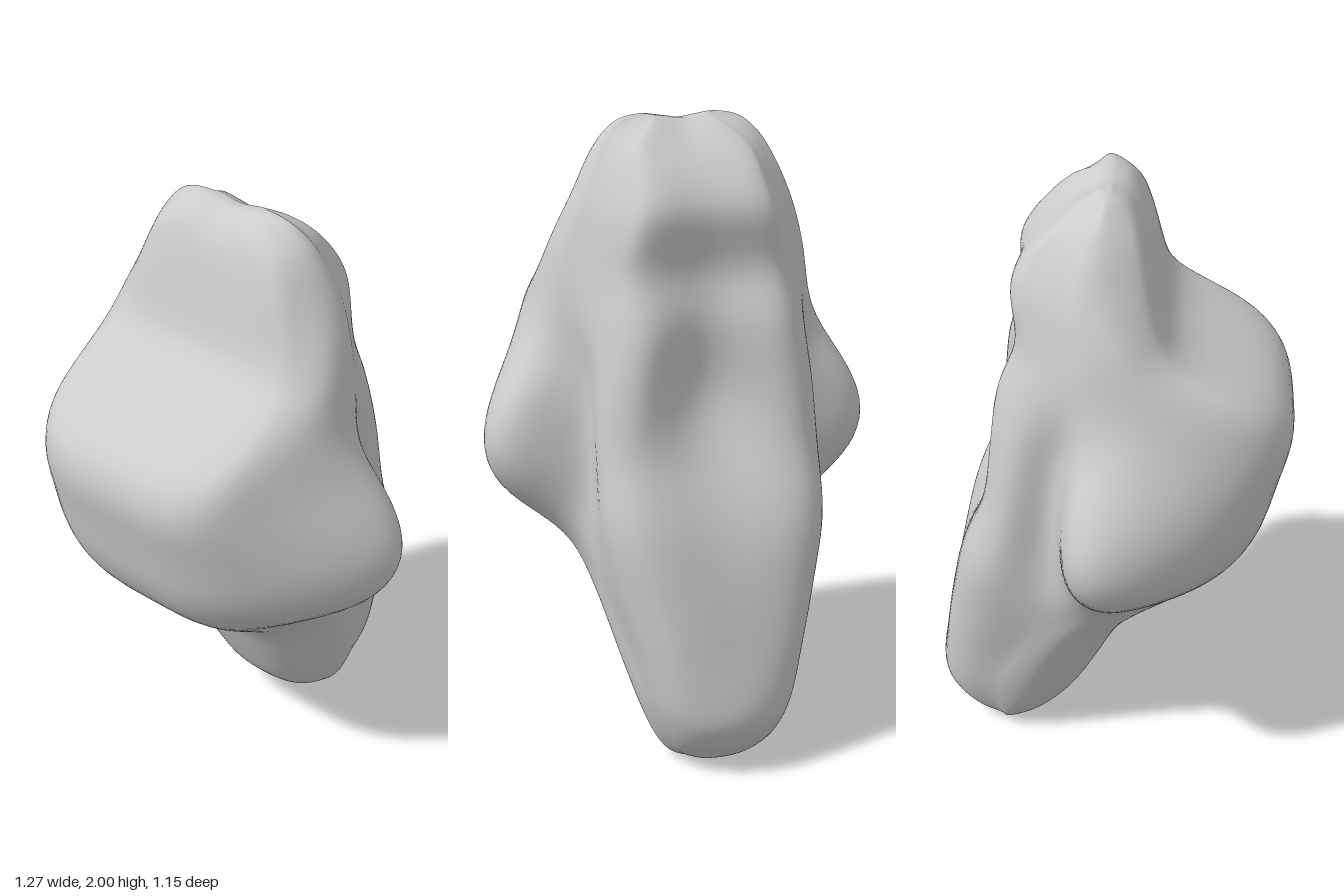
import * as THREE from 'three';

// Smooth monotone interpolation through [height, value] keys (ascending height)
function profile(...keys) {
  const n = keys.length;
  const slope = (i) => (keys[i + 1][1] - keys[i][1]) / (keys[i + 1][0] - keys[i][0]);
  const tangent = (i) => {
    if (i === 0) return slope(0);
    if (i === n - 1) return slope(n - 2);
    const a = slope(i - 1), b = slope(i);
    return a * b <= 0 ? 0 : (2 * a * b) / (a + b);
  };
  return (y) => {
    let i = 0;
    while (i < n - 2 && y > keys[i + 1][0]) i++;
    const h = keys[i + 1][0] - keys[i][0];
    const t = (y - keys[i][0]) / h, t2 = t * t, t3 = t2 * t;
    return (2 * t3 - 3 * t2 + 1) * keys[i][1] + (t3 - 2 * t2 + t) * h * tangent(i)
      + (3 * t2 - 2 * t3) * keys[i + 1][1] + (t3 - t2) * h * tangent(i + 1);
  };
}

// Front face: depth, half-width of its corners and how far they are rounded back
const frontZ = profile([0, -.31], [.015, -.25], [.05, -.2], [.15, -.105], [.3, -.02], [.5, .085], [.6, .215],
  [.7, .355], [.8, .445], [.9, .5], [1.1, .547], [1.25, .583], [1.35, .555], [1.42, .485], [1.47, .37],
  [1.53, .225], [1.6, .18], [1.8, .13], [1.9, .1], [1.97, .06], [1.99, .035], [2, .01]);
const frontX = profile([0, .05], [.05, .09], [.15, .11], [.4, .15], [.6, .19], [.8, .24], [1, .28], [1.25, .29],
  [1.4, .32], [1.5, .33], [1.6, .3], [1.8, .25], [1.9, .21], [2, .1]);
const cornerRound = profile([0, .09], [.5, .09], [.8, .05], [1.2, .05], [1.4, .08], [1.6, .05], [2, .05]);
// Side wings: half-width and depth of the tips, and how far their rear reaches to the groove
const wingX = profile([0, .08], [.015, .135], [.05, .175], [.1, .205], [.2, .242], [.4, .297], [.6, .345], [.66, .365],
  [.7, .405], [.8, .555], [.9, .632], [1, .652], [1.1, .625], [1.2, .567], [1.3, .503], [1.4, .46], [1.6, .41],
  [1.8, .33], [1.9, .28], [1.96, .23], [1.99, .18], [2, .12]);
const wingZ = profile([0, -.35], [.2, -.28], [.5, -.14], [.65, 0], [.8, .04], [1, 0], [1.2, .04], [1.4, .13],
  [1.6, .06], [1.8, -.01], [2, -.005]);
const wingRear = profile([0, .65], [.55, .6], [.7, .3], [.82, .55], [.95, .7], [1.15, .7], [1.3, .58], [1.6, .65], [2, .65]);
// Groove between the wings and the rear column
const grooveX = profile([0, .075], [.015, .12], [.05, .16], [.2, .228], [.4, .282], [.6, .335], [.7, .35], [.9, .342],
  [1.2, .342], [1.4, .382], [1.5, .375], [1.6, .355], [1.8, .295], [1.9, .25], [1.96, .2], [2, .1]);
const grooveZ = profile([0, -.36], [.2, -.39], [.4, -.32], [.6, -.23], [.75, -.17], [1, -.155], [1.5, -.12],
  [1.7, -.12], [1.9, -.07], [2, -.015]);
// Rear column: flanks, back ridges and centre line
const flankX = profile([0, .065], [.05, .135], [.2, .2], [.4, .26], [.6, .32], [.8, .365], [1, .362], [1.2, .35],
  [1.4, .315], [1.6, .28], [1.8, .225], [1.9, .2], [2, .09]);
const ridgeX = profile([0, .05], [.05, .085], [.2, .14], [.4, .19], [.6, .24], [.75, .265], [1, .26], [1.2, .24],
  [1.4, .21], [1.6, .22], [1.8, .18], [1.9, .17], [2, .08]);
const ridgeZ = profile([0, -.38], [.015, -.42], [.05, -.46], [.1, -.505], [.2, -.545], [.4, -.53], [.6, -.495],
  [.8, -.465], [.9, -.43], [1, -.39], [1.2, -.367], [1.4, -.34], [1.55, -.27], [1.72, -.288], [1.8, -.25],
  [1.9, -.16], [1.96, -.09], [2, -.025]);
const centreZ = profile([0, -.39], [.015, -.43], [.05, -.48], [.1, -.53], [.2, -.578], [.4, -.545], [.6, -.51],
  [.8, -.45], [.95, -.37], [1.1, -.28], [1.18, -.255], [1.4, -.27], [1.53, -.24], [1.72, -.275], [1.8, -.24],
  [1.9, -.15], [1.96, -.08], [2, -.025]);

// Mirrored closed cross-section at one height
function section(y, count) {
  const mix = THREE.MathUtils.lerp;
  const wx = wingX(y), wz = wingZ(y), gx = grooveX(y), gz = grooveZ(y);
  const rx = ridgeX(y), rz = ridgeZ(y), fx = frontX(y), fz = frontZ(y);
  const half = [
    [fx, mix(fz, wz, cornerRound(y))],
    [mix(fx, wx, .59), mix(fz, wz, .42)],
    [wx, wz],
    [mix(gx, wx, .8), mix(wz, gz, wingRear(y))],
    [gx, gz],
    [flankX(y), mix(gz, rz, .62)],
    [rx, rz],
  ];
  const points = [[0, fz], ...half, [0, centreZ(y)], ...half.slice().reverse().map(([x, z]) => [-x, z])];
  const curve = new THREE.CatmullRomCurve3(points.map(([x, z]) => new THREE.Vector3(x, y, z)), true, 'centripetal');
  return Array.from({ length: count }, (_, j) => curve.getPoint(j / count));
}

// Average every inner grid point with its neighbours to soften the creases
function soften(grid) {
  return grid.map((ring, i) => ring.map((p, j) => {
    if (i === 0 || i === grid.length - 1) return p;
    const n = ring.length;
    return p.clone().multiplyScalar(4).add(grid[i - 1][j]).add(grid[i + 1][j])
      .add(ring[(j + 1) % n]).add(ring[(j + n - 1) % n]).divideScalar(8);
  }));
}

function createBody() {
  const rows = 120, around = 128, position = [], index = [];
  let grid = [];
  for (let i = 0; i <= rows; i++) {
    const t = i / rows;
    // Rows crowd together towards both ends
    grid.push(section(2 * t - .8 * Math.sin(2 * Math.PI * t) / Math.PI, around));
  }
  for (let pass = 0; pass < 14; pass++) grid = soften(grid);
  for (const p of grid.flat()) {
    // Shallow dip across the crown
    const dip = .02 * Math.exp(-((p.x / .09) ** 2)) * THREE.MathUtils.smoothstep(p.y, 1.85, 2);
    position.push(p.x, p.y - dip, p.z);
  }
  for (let i = 0; i < rows; i++) {
    for (let j = 0; j < around; j++) {
      const k = (j + 1) % around;
      const a = i * around + j, b = i * around + k, c = a + around, d = b + around;
      index.push(a, b, c, b, d, c);
    }
  }
  // End caps
  const base = position.length / 3, top = rows * around;
  position.push(0, 0, -.35, 0, 1.98, 0);
  for (let j = 0; j < around; j++) {
    const k = (j + 1) % around;
    index.push(base, k, j, base + 1, top + j, top + k);
  }
  const geometry = new THREE.BufferGeometry();
  geometry.setAttribute('position', new THREE.Float32BufferAttribute(position, 3));
  geometry.setIndex(index);
  geometry.computeVertexNormals();
  return geometry;
}

export function createModel() {
  const group = new THREE.Group();
  const body = new THREE.Mesh(createBody(), new THREE.MeshStandardMaterial({ color: 0xcccccc }));
  body.name = 'boneBody';
  group.add(body);
  return group;
}
